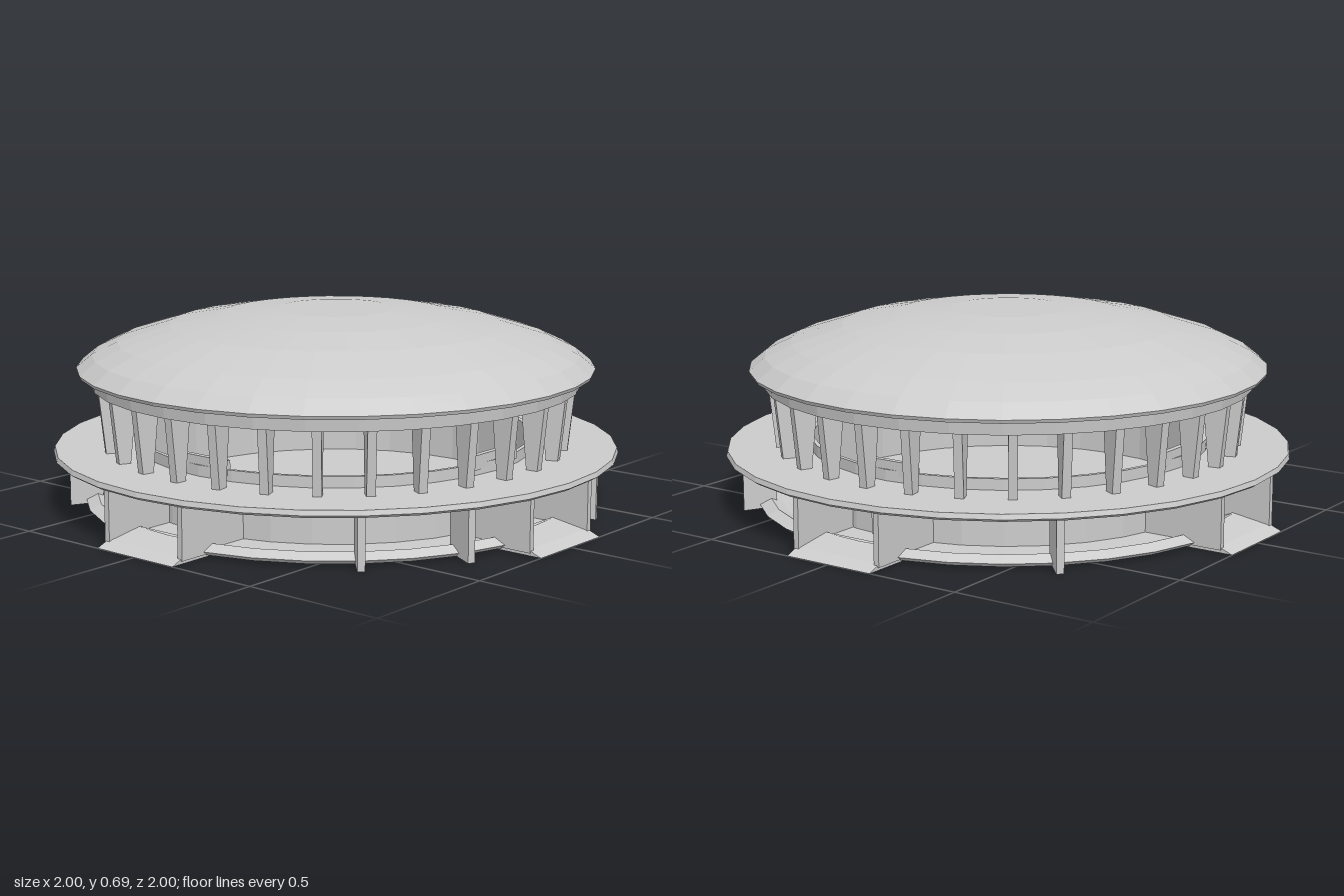
import * as THREE from 'three';

const SIDES = 32;
const material = new THREE.MeshStandardMaterial({
  color: 0xcccccc, flatShading: true, side: THREE.DoubleSide,
});

export function createModel() {
  const root = new THREE.Group();

  const add = (parent, name, geometry) => {
    const mesh = new THREE.Mesh(geometry, material);
    mesh.name = name;
    parent.add(mesh);
    return mesh;
  };
  // Round part turned from a profile of [radius, height] pairs
  const round = (name, profile) => add(root, name, new THREE.LatheGeometry(
    profile.map(([r, y]) => new THREE.Vector2(r, y)), SIDES));

  // Plate with a [radius, height] outline, standing radially along +z
  const radialPlate = (outline, thickness) => {
    const shape = new THREE.Shape(outline.map(([r, y]) => new THREE.Vector2(r, y)));
    const g = new THREE.ExtrudeGeometry(shape, { depth: thickness, bevelEnabled: false });
    return g.translate(0, 0, -thickness / 2).rotateY(-Math.PI / 2);
  };

  // Ground storey: thin floor slab with a low rim
  round('floorSlab', [[0, 0.005], [0.86, 0.005], [0.88, 0.02], [0.84, 0.04], [0.8, 0.025], [0, 0.025]]);

  // Deeply recessed hall wall, rising above the deck as a parapet
  round('hallWall', [[0.7, 0.025], [0.7, 0.25], [0.685, 0.25], [0.685, 0.025]]);

  // Ring-shaped gallery deck
  round('deck', [[0.7, 0.185], [0.975, 0.185], [0.99, 0.195], [0.985, 0.212], [0.7, 0.212]]);

  // Roof: fascia ring and a shallow dome shell, open underneath
  round('fascia', [[0.79, 0.475], [0.79, 0.43], [0.855, 0.43], [0.86, 0.478]]);
  round('domeRoof', [
    [0, 0.672], [0.2, 0.67], [0.4, 0.65], [0.58, 0.616], [0.76, 0.56], [0.85, 0.475],
    [0.9, 0.478], [0.905, 0.49], [0.85, 0.535], [0.76, 0.578],
    [0.58, 0.635], [0.4, 0.668], [0.2, 0.687], [0, 0.689],
  ]);

  // Gallery columns, deeper at the head than at the foot
  const columnCount = 30;
  const columnGeometry = radialPlate(
    [[0.775, 0.205], [0.815, 0.205], [0.84, 0.44], [0.75, 0.44]], 0.03);
  for (let i = 0; i < columnCount; i++) {
    const column = add(root, 'galleryColumn', columnGeometry);
    column.rotation.y = (i + 0.5) * Math.PI * 2 / columnCount;
  }

  // Buttresses on the diagonals, and one more each side of the front entrance
  const buttressGeometry = radialPlate(
    [[0.82, 0.01], [0.935, 0], [0.935, 0.19], [0.82, 0.19]], 0.025);
  for (const degrees of [-135, -45, -22.5, 22.5, 45, 135]) {
    add(root, 'buttress', buttressGeometry).rotation.y = THREE.MathUtils.degToRad(degrees);
  }

  // An entrance on each axis: side walls, ramp, door frame and raised parapet
  const sideWallGeometry = radialPlate(
    [[0.67, 0.01], [0.96, 0.01], [0.96, 0.19], [0.67, 0.19]], 0.02);
  const rampGeometry = radialPlate([[0.82, 0], [1, 0], [0.95, 0.02], [0.82, 0.04]], 0.34);
  for (let i = 0; i < 4; i++) {
    const entrance = new THREE.Group();
    entrance.name = 'entrance';
    entrance.rotation.y = i * Math.PI / 2;
    root.add(entrance);
    for (const s of [-1, 1]) {
      add(entrance, 'entranceSideWall', sideWallGeometry).position.x = s * 0.165;
      add(entrance, 'doorJamb', new THREE.BoxGeometry(0.012, 0.1, 0.025))
        .position.set(s * 0.04, 0.08, 0.705);
    }
    add(entrance, 'entranceRamp', rampGeometry);
    add(entrance, 'doorLintel', new THREE.BoxGeometry(0.092, 0.012, 0.025))
      .position.set(0, 0.13, 0.705);
    add(entrance, 'raisedParapet', new THREE.BoxGeometry(0.24, 0.05, 0.02))
      .position.set(0, 0.255, 0.685);
  }
  return root;
}
